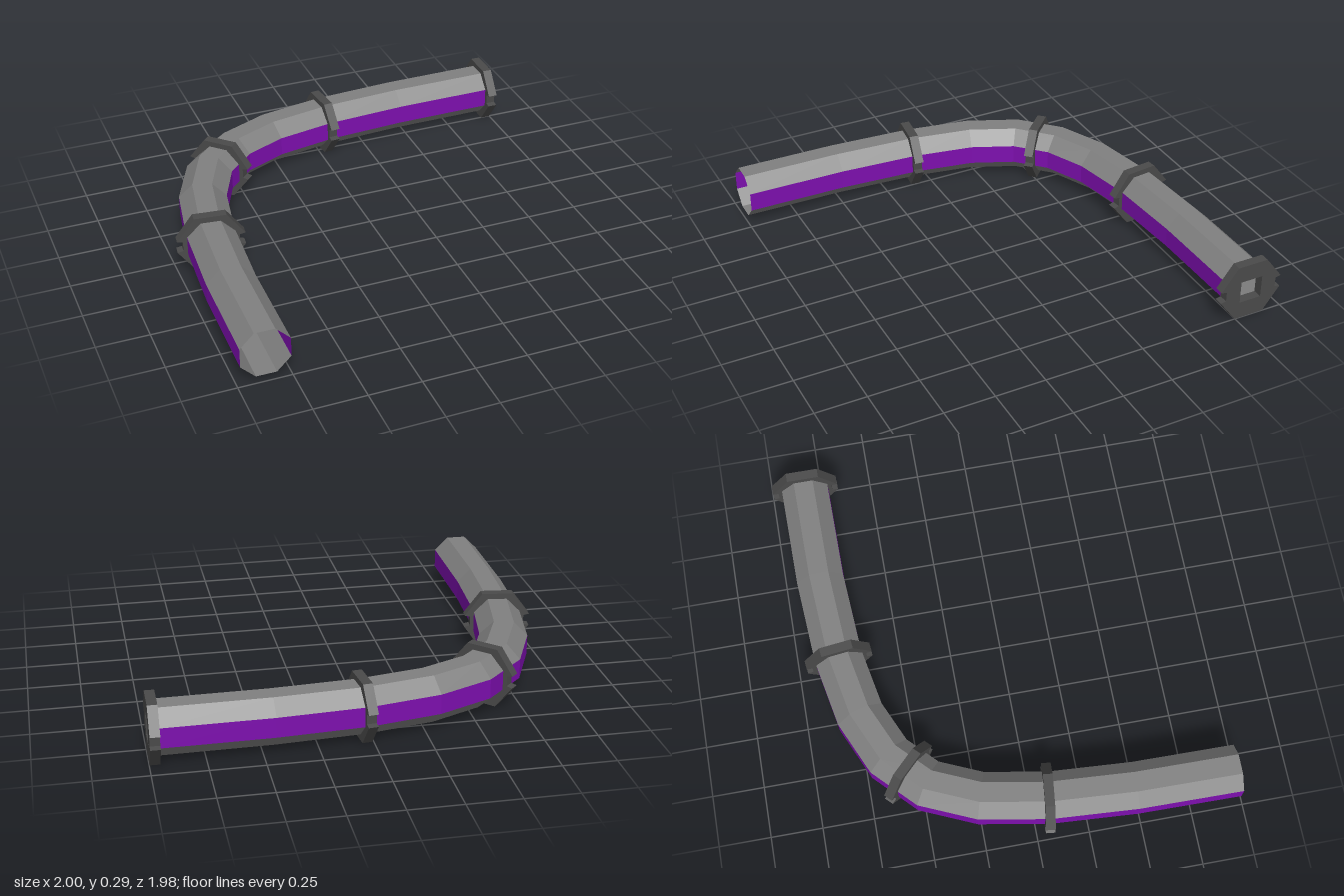
import * as THREE from 'three';

const MID_Y = 0.144;

// Centre line of the bent pipe in plan, as [x, z]
const PATH = [
  [-0.866, 0.989], [-0.861, 0.49], [-0.834, 0.078], [-0.778, -0.235], [-0.674, -0.47],
  [-0.508, -0.631], [-0.278, -0.733], [0.038, -0.793], [0.45, -0.82], [0.975, -0.826],
].map(([x, z]) => new THREE.Vector2(x, z));

// Mitred octagon cross-section at each path point
function pipeSections(apothem) {
  const radius = apothem / Math.cos(Math.PI / 8);
  return PATH.map((p, i) => {
    const before = p.clone().sub(PATH[Math.max(i - 1, 0)]).normalize();
    const after = PATH[Math.min(i + 1, PATH.length - 1)].clone().sub(p).normalize();
    const t = before.clone().add(after).normalize();
    const stretch = 1 / Math.max(t.dot(before), t.dot(after));
    const corners = [];
    for (let k = 0; k < 8; k++) {
      const a = (k - 0.5) * Math.PI / 4;
      const u = Math.cos(a) * radius * stretch;
      corners.push([p.x - t.y * u, MID_Y + Math.sin(a) * radius, p.y + t.x * u]);
    }
    return corners;
  });
}

// Lengthwise panels joining the chosen sides of the sections
function panels(sections, sides) {
  const pos = [];
  for (let i = 0; i < sections.length - 1; i++) {
    for (const k of sides) {
      const n = (k + 1) % 8;
      const a = sections[i][k], b = sections[i + 1][k];
      const c = sections[i + 1][n], d = sections[i][n];
      pos.push(...a, ...b, ...c, ...a, ...c, ...d);
    }
  }
  const g = new THREE.BufferGeometry();
  g.setAttribute('position', new THREE.Float32BufferAttribute(pos, 3));
  g.computeVertexNormals();
  return g;
}

// Eight-sided plate with a notch in each side and a square hole
function collarGeometry(depth) {
  const quarter = [[0.135, 0.024], [0.163, 0.03], [0.078, 0.143]];
  const back = [...quarter].reverse();
  const outline = [
    ...quarter,
    ...back.map(([x, y]) => [-x, y]),
    ...quarter.map(([x, y]) => [-x, -y]),
    ...back.map(([x, y]) => [x, -y]),
  ];
  const shape = new THREE.Shape(outline.map(([x, y]) => new THREE.Vector2(x, y)));
  const h = 0.057;
  shape.holes.push(new THREE.Path([[-h, -h], [-h, h], [h, h], [h, -h]]
    .map(([x, y]) => new THREE.Vector2(x, y))));
  const g = new THREE.ExtrudeGeometry(shape, { depth, bevelEnabled: false });
  g.translate(0, 0, -depth / 2);
  return g;
}

export function createModel() {
  const model = new THREE.Group();
  model.name = 'bentPipe';
  const flat = (color) => new THREE.MeshStandardMaterial({
    color, flatShading: true, side: THREE.DoubleSide,
  });

  // Open pipe: grey panels with a purple strip along each side
  const sections = pipeSections(0.115);
  const shell = new THREE.Mesh(panels(sections, [1, 2, 3, 5, 6, 7]), flat(0x808080));
  shell.name = 'pipeShell';
  const strips = new THREE.Mesh(panels(sections, [0, 4]), flat(0x7d0fae));
  strips.name = 'sideStrips';
  model.add(shell, strips);

  // Collars across the pipe: [x, z, direction x, direction z]
  const collarMaterial = flat(0x4a4a4a);
  const collar = collarGeometry(0.046);
  [
    [-0.834, 0.078, 0.114, -0.993],
    [-0.591, -0.551, 0.707, -0.707],
    [0.038, -0.793, 0.993, -0.114],
    [0.975, -0.826, 1, 0],
  ].forEach(([x, z, dx, dz], i) => {
    const mesh = new THREE.Mesh(collar, collarMaterial);
    mesh.name = i === 3 ? 'endCollar' : `collar${i + 1}`;
    mesh.position.set(x, MID_Y, z);
    mesh.rotation.y = Math.atan2(dx, dz);
    model.add(mesh);
  });

  return model;
}
